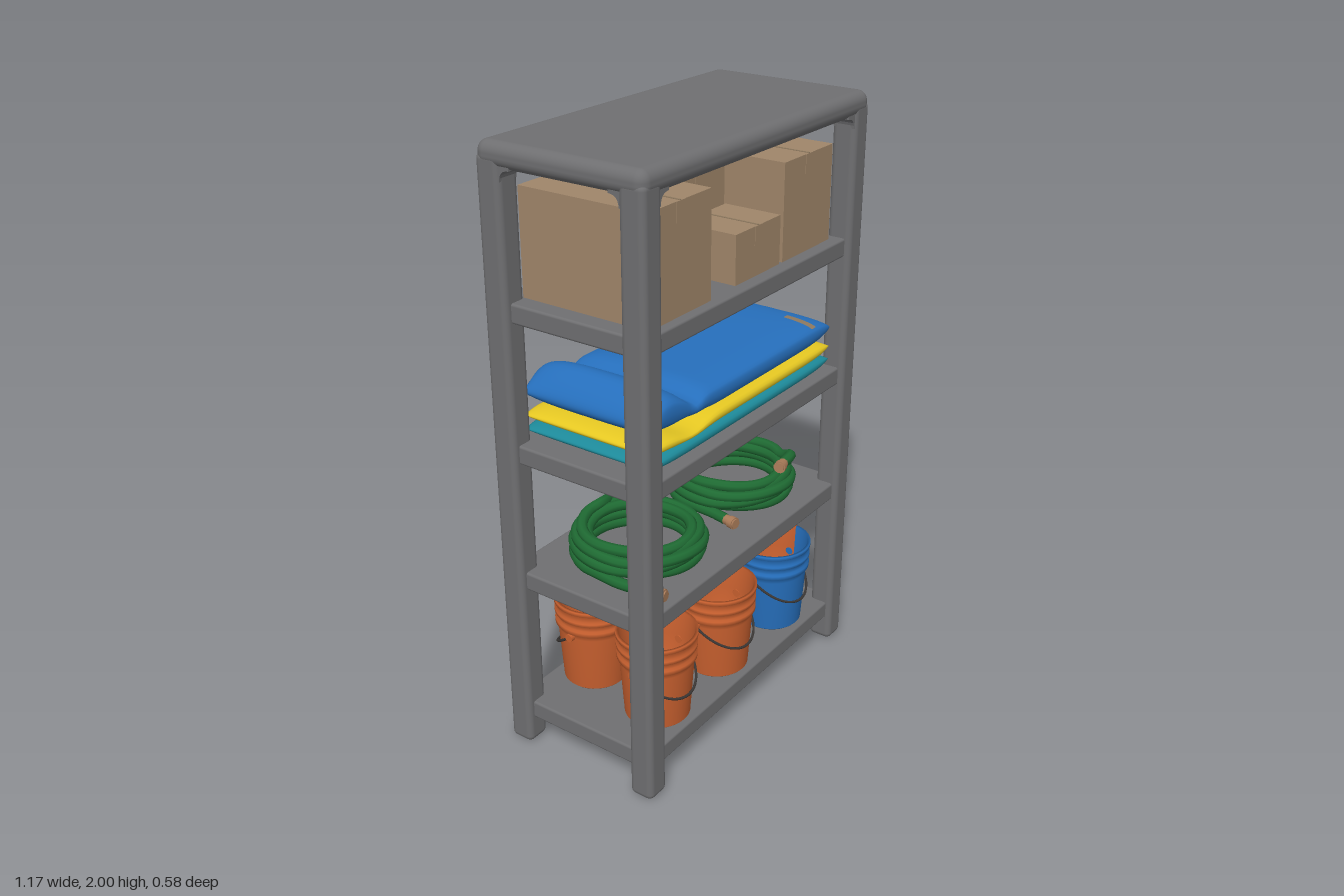
import * as THREE from 'three';
import { mergeVertices } from 'three/addons/utils/BufferGeometryUtils.js';
import { RoundedBoxGeometry } from 'three/addons/geometries/RoundedBoxGeometry.js';

const paint = (name, color, side = THREE.FrontSide) => {
  const m = new THREE.MeshStandardMaterial({ color, side });
  m.name = name;
  return m;
};

export function createModel() {
  const grey = paint('frame grey', 0x6f6f71);
  const card = paint('cardboard', 0xa0866a);
  const tan = paint('tape tan', 0x8f7a60, THREE.DoubleSide);
  const orange = paint('bucket orange', 0xc8602f);
  const blue = paint('blue plastic', 0x266fbc);
  const yellow = paint('yellow plastic', 0xe6c822);
  const teal = paint('teal plastic', 0x1d8a9a);
  const green = paint('hose green', 0x1f6b33);
  const brass = paint('brass', 0xa87a58);
  const dark = paint('handle dark', 0x3c3836);

  const root = new THREE.Group();
  root.name = 'storageShelf';
  const add = (name, geo, mat, x = 0, y = 0, z = 0, parent = root) => {
    const mesh = new THREE.Mesh(geo, mat);
    mesh.name = name;
    mesh.position.set(x, y, z);
    parent.add(mesh);
    return mesh;
  };
  const group = (name) => {
    const g = new THREE.Group();
    g.name = name;
    root.add(g);
    return g;
  };

  // Frame: top, four posts, four shelves
  const frame = group('frame');
  add('topPanel', new RoundedBoxGeometry(1.17, 0.077, 0.58, 4, 0.034), grey, 0, 1.9615, 0, frame);
  for (const sx of [-1, 1]) for (const sz of [-1, 1])
    add('post', new RoundedBoxGeometry(0.085, 1.965, 0.085, 3, 0.02), grey, sx * 0.5415, 0.9825, sz * 0.2465, frame);
  for (const top of [0.155, 0.645, 1.085, 1.535])
    add('shelf', new RoundedBoxGeometry(1.12, 0.062, 0.54, 2, 0.008), grey, 0, top - 0.031, 0, frame);

  // Rounded inside corners under the top
  const f = new THREE.Shape();
  f.moveTo(-0.01, 0.01);
  f.lineTo(-0.01, -0.035);
  f.lineTo(0, -0.035);
  f.quadraticCurveTo(0, 0, 0.035, 0);
  f.lineTo(0.035, 0.01);
  const fillet = new THREE.ExtrudeGeometry(f, { depth: 0.07, bevelEnabled: false, curveSegments: 6 });
  for (const [x, z, turn] of [
    [-0.5, 0.212, 0], [-0.5, -0.282, 0], [0.5, 0.282, Math.PI], [0.5, -0.212, Math.PI],
    [0.577, -0.205, -Math.PI / 2], [-0.507, -0.205, -Math.PI / 2],
    [0.507, 0.205, Math.PI / 2], [-0.577, 0.205, Math.PI / 2],
  ]) add('cornerFillet', fillet, grey, x, 1.925, z, frame).rotation.y = turn;

  // Cardboard boxes: [x0, x1, height, z0, z1]
  const boxes = group('cardboardBoxes');
  for (const [x0, x1, h, z0, z1] of [
    [-0.5, -0.21, 0.33, -0.21, 0.24], [-0.09, 0.178, 0.31, -0.22, 0.02],
    [-0.07, 0.17, 0.155, 0.03, 0.23], [0.187, 0.465, 0.31, -0.045, 0.23],
  ]) {
    const w = x1 - x0, d = z1 - z0, x = (x0 + x1) / 2, z = (z0 + z1) / 2;
    add('box', new THREE.BoxGeometry(w, h, d), card, x, 1.535 + h / 2, z, boxes);
    // Flap seam on the lid, with short ends folded down
    add('flapSeam', new THREE.BoxGeometry(0.006, 0.002, d), tan, x, 1.536 + h, z, boxes);
    for (const s of [-1, 1])
      add('tapeEnd', new THREE.BoxGeometry(0.04, 0.06, 0.003), card, x, 1.505 + h, z + s * d / 2, boxes);
  }

  // Filled bags: closed surface from rounded cross-sections along x
  const bump = (x, c, w) => Math.exp(-(((x - c) / w) ** 2));
  const softPow = (v) => Math.sign(v) * Math.abs(v) ** 0.6;
  const bagPoint = (bag, u, v, lift) => {
    const t = -Math.cos(Math.PI * u), a = 2 * Math.PI * v, x = t * 0.497;
    const top = bag.top(x), bottom = bag.bottom(x);
    const half = ((top - bottom) / 2) * Math.sqrt(Math.max(0, 1 - t ** 8)) + lift;
    return [x, (top + bottom) / 2 + half * softPow(Math.sin(a)), (0.245 + lift - 0.012 * t ** 8) * softPow(Math.cos(a))];
  };
  const bagSurface = (bag, nu, nv, [u0, u1, v0, v1] = [0, 1, 0, 1], lift = 0) => {
    const pos = [], idx = [];
    for (let i = 0; i <= nu; i++) for (let j = 0; j <= nv; j++)
      pos.push(...bagPoint(bag, u0 + ((u1 - u0) * i) / nu, v0 + ((v1 - v0) * j) / nv, lift));
    for (let i = 0; i < nu; i++) for (let j = 0; j < nv; j++) {
      const a = i * (nv + 1) + j, b = a + nv + 1;
      idx.push(a, b, b + 1, a, b + 1, a + 1);
    }
    const g = new THREE.BufferGeometry();
    g.setAttribute('position', new THREE.Float32BufferAttribute(pos, 3));
    g.setIndex(idx);
    const merged = mergeVertices(g, 1e-5);
    merged.computeVertexNormals();
    return merged;
  };
  const bags = group('bags');
  const tealBag = { top: () => 1.137, bottom: () => 1.083 };
  const yellowBag = { top: (x) => 1.183 - 0.026 * bump(x, -0.29, 0.08), bottom: () => 1.128 };
  const blueBag = {
    top: (x) => 1.272 + 0.05 * bump(x, -0.41, 0.08) - 0.032 * bump(x, -0.28, 0.04),
    bottom: (x) => 1.176 + 0.018 * bump(x, -0.29, 0.07),
  };
  add('tealBag', bagSurface(tealBag, 48, 32), teal, 0, 0, 0, bags);
  add('yellowBag', bagSurface(yellowBag, 48, 32), yellow, 0, 0, 0, bags);
  add('blueBag', bagSurface(blueBag, 64, 40), blue, 0, 0, 0, bags);
  // Pale patches on the blue bag
  add('frontPatch', bagSurface(blueBag, 4, 8, [0.78, 0.81, 0.07, 0.2], 0.002), tan, 0, 0, 0, bags);
  add('rearPatch', bagSurface(blueBag, 4, 8, [0.78, 0.81, 0.32, 0.4], 0.002), tan, 0, 0, 0, bags);

  // Coiled hoses: one winding tube with a loose tail and fittings
  const rings = [[0.205, 0.665], [0.168, 0.667], [0.172, 0.697], [0.206, 0.695], [0.198, 0.722], [0.163, 0.727], [0.18, 0.747], [0.178, 0.75]];
  const hose = (cx, head, tail, endTurn) => {
    const g = group('coiledHose');
    const pts = head.map((p) => new THREE.Vector3(...p));
    const steps = Math.round(endTurn * 18);
    for (let k = 0; k <= steps; k++) {
      const turn = k / 18, i = Math.min(Math.floor(turn), rings.length - 2);
      const s = THREE.MathUtils.smoothstep(turn - i, 0.5, 1);
      const r = THREE.MathUtils.lerp(rings[i][0], rings[i + 1][0], s);
      const y = THREE.MathUtils.lerp(rings[i][1], rings[i + 1][1], s);
      const a = Math.PI + turn * 2 * Math.PI;
      pts.push(new THREE.Vector3(cx + r * Math.cos(a), y + 0.003 * Math.sin(3 * a + i), r * Math.sin(a)));
    }
    pts.push(...tail.map((p) => new THREE.Vector3(...p)));
    add('hose', new THREE.TubeGeometry(new THREE.CatmullRomCurve3(pts), 420, 0.0185, 8), green, 0, 0, 0, g);
    // Brass fitting with a collar on each end
    for (const [end, before] of [[pts[0], pts[1]], [pts.at(-1), pts.at(-2)]]) {
      const dir = end.clone().sub(before).normalize();
      for (const [r, len, off] of [[0.017, 0.06, 0.015], [0.021, 0.02, 0.03]]) {
        const p = end.clone().addScaledVector(dir, off);
        add('fitting', new THREE.CylinderGeometry(r, r, len, 12), brass, p.x, p.y, p.z, g)
          .quaternion.setFromUnitVectors(new THREE.Vector3(0, 1, 0), dir);
      }
    }
  };
  hose(-0.25, [[-0.445, 0.665, 0.2], [-0.462, 0.665, 0.09]],
    [[-0.12, 0.715, -0.205], [-0.05, 0.67, -0.19], [0.02, 0.665, -0.17]], 6.25);
  hose(0.272, [[0.05, 0.665, 0.13], [0.062, 0.665, 0.07]],
    [[0.38, 0.778, 0.17], [0.3, 0.785, 0.19]], 6.62);

  // Buckets: hollow ribbed profile, split into coloured sectors
  const profile = [
    [0, 0], [0.1, 0], [0.106, 0.006], [0.119, 0.2], [0.119, 0.215], [0.129, 0.219], [0.129, 0.234], [0.121, 0.238],
    [0.122, 0.255], [0.13, 0.259], [0.13, 0.27], [0.123, 0.274], [0.124, 0.295], [0.132, 0.298], [0.132, 0.311],
    [0.122, 0.311], [0.117, 0.22], [0.098, 0.014], [0, 0.014],
  ].map(([r, y]) => new THREE.Vector2(r, y));
  const deg = Math.PI / 180;
  // [x, z, main colour, patch colour, patch start, patch end]
  for (const [x, z, main, patch, p0, p1] of [
    [-0.355, 0.145, orange], [-0.02, 0.145, orange], [0.322, 0.145, blue, orange, 80, 175],
    [-0.31, -0.145, orange, blue, 70, 105], [-0.02, -0.145, orange, blue, 0, 85], [0.35, -0.145, orange],
  ]) {
    const g = group('bucket');
    g.position.set(x, 0.155, z);
    const sectors = patch ? [[main, p1, 360 - (p1 - p0)], [patch, p0, p1 - p0]] : [[main, 0, 360]];
    for (const [mat, start, span] of sectors)
      add('bucketShell', new THREE.LatheGeometry(profile, Math.ceil(span / 10), start * deg, span * deg), mat, 0, 0, 0, g);
    // Wire handle hanging outwards from two ears
    const side = Math.sign(z), arc = [];
    for (let k = 0; k <= 12; k++) {
      const a = (k / 12) * Math.PI, y = 0.205 - 0.095 * Math.sin(a);
      const r = 0.128 - 0.005 * Math.sin(a);
      arc.push(new THREE.Vector3(r * Math.cos(a), y, side * r * Math.sin(a)));
    }
    add('handle', new THREE.TubeGeometry(new THREE.CatmullRomCurve3(arc), 32, 0.0045, 6), dark, 0, 0, 0, g);
    for (const s of [-1, 1])
      add('handleEar', new THREE.CylinderGeometry(0.014, 0.014, 0.02, 12), main, s * 0.124, 0.205, 0, g).rotation.z = Math.PI / 2;
  }
  return root;
}
